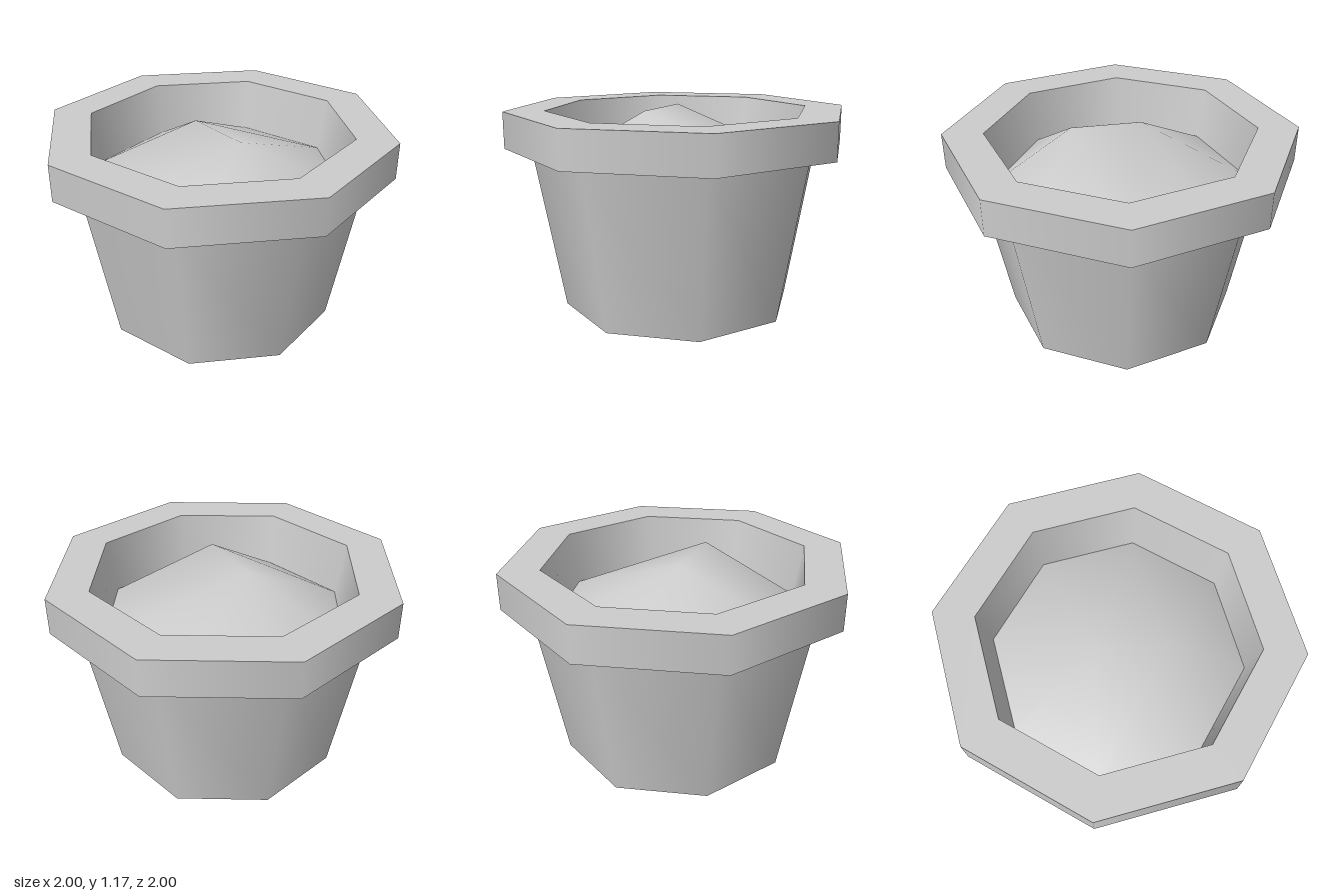
import * as THREE from 'three';

const SIDES = 8;
const material = new THREE.MeshStandardMaterial({ color: 0xcccccc });

// One band of the pot: smooth around, sharp where it meets the next band
function band(name, from, to) {
  const points = [from, to].map(([r, y]) => new THREE.Vector2(r, y));
  const mesh = new THREE.Mesh(new THREE.LatheGeometry(points, SIDES), material);
  mesh.name = name;
  return mesh;
}

// Soil heaped into a short, off-centre ridge above an octagonal edge
function createSoil(radius, y) {
  const positions = [];
  for (let k = 0; k < SIDES; k++) {
    const a = (k / SIDES) * Math.PI * 2;
    positions.push(radius * Math.cos(a), y, radius * Math.sin(a));
  }
  const A = SIDES, B = SIDES + 1;
  positions.push(-0.14, 1.175, -0.02, 0.18, 1.175, 0.22);

  // Slopes rise to the nearer ridge end; two triangles flank the ridge
  const index = [A, 3, B, A, B, 7];
  for (let k = 0; k < SIDES; k++) {
    index.push(k >= 3 && k < 7 ? A : B, (k + 1) % SIDES, k);
  }
  const geometry = new THREE.BufferGeometry();
  geometry.setAttribute('position', new THREE.Float32BufferAttribute(positions, 3));
  geometry.setIndex(index);
  geometry.computeVertexNormals();
  const mesh = new THREE.Mesh(geometry, material);
  mesh.name = 'soil';
  return mesh;
}

export function createModel() {
  const model = new THREE.Group();
  model.name = 'plantPot';

  // Pot profile as [radius, height], from the base up, over the rim and inside
  const profile = [[0, 0], [0.68, 0], [0.85, 0.955], [1, 0.955], [1, 1.165], [0.768, 1.165], [0.715, 0.865]];
  const names = ['base', 'outerWall', 'rimUnderside', 'rimSide', 'rimTop', 'innerWall'];
  names.forEach((name, i) => model.add(band(name, profile[i], profile[i + 1])));

  model.add(createSoil(0.715, 0.865));
  return model;
}
